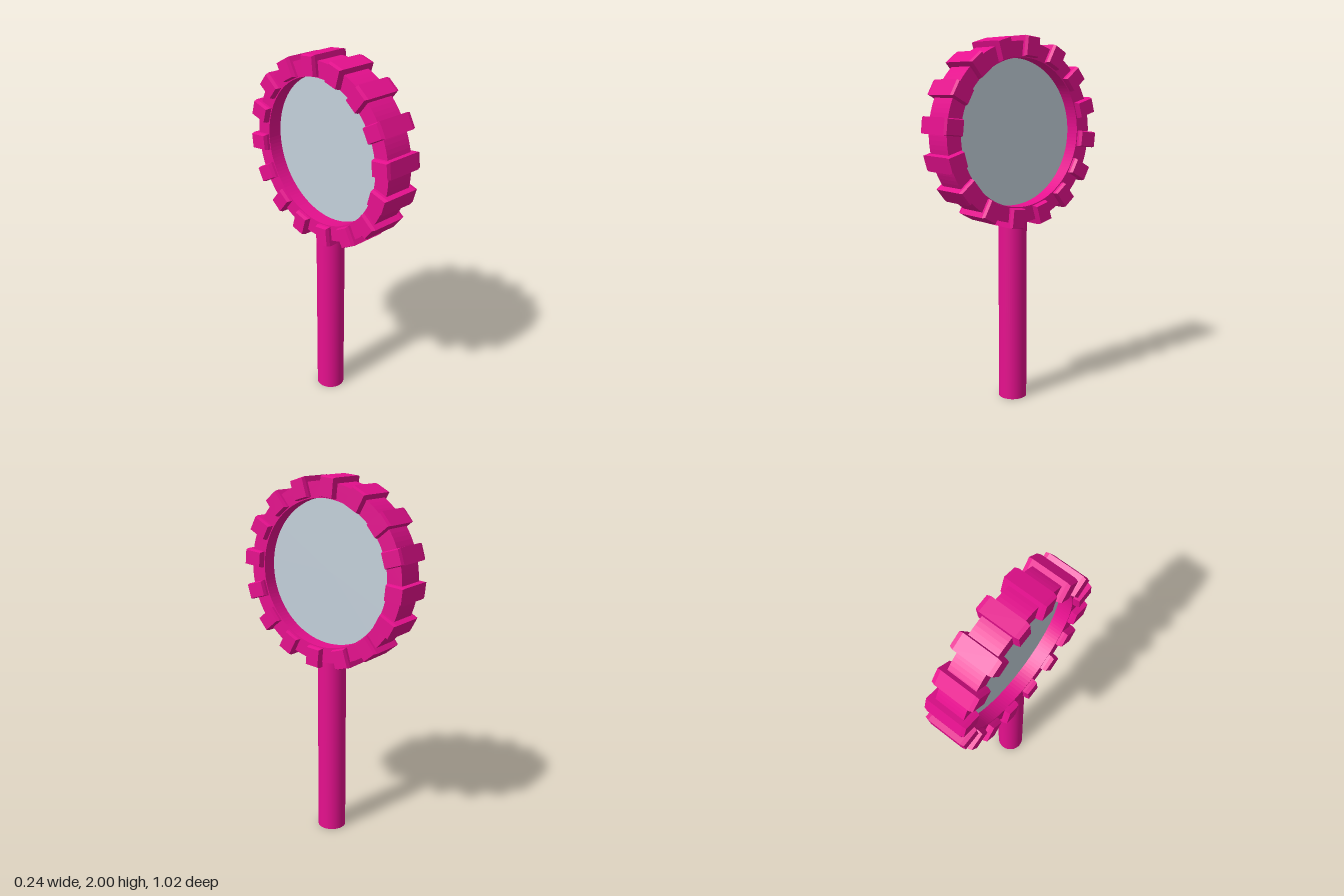
import * as THREE from 'three';

const CENTER_Y = 1.49, TEETH = 16, OFFSET = THREE.MathUtils.degToRad(6);

// Tooth block whose two ends taper in slightly
function toothGeometry(length, height, width, bevel) {
  const g = new THREE.BoxGeometry(length, height, width, 3, 1, 1);
  const p = g.attributes.position;
  for (let i = 0; i < p.count; i++) {
    const x = p.getX(i);
    if (Math.abs(x) > length * 0.45) {
      p.setY(i, p.getY(i) - Math.sign(p.getY(i)) * bevel);
      p.setZ(i, p.getZ(i) - Math.sign(p.getZ(i)) * bevel);
    } else {
      p.setX(i, Math.sign(x) * (length / 2 - 0.02));
    }
  }
  const flat = g.toNonIndexed();
  flat.computeVertexNormals();
  return flat;
}

export function createModel() {
  const model = new THREE.Group();
  const pink = new THREE.MeshStandardMaterial({ color: 0xe6108e });
  pink.name = 'hot pink';
  const glass = new THREE.MeshStandardMaterial({ color: 0xc4d1db });
  glass.name = 'pale blue grey';

  const add = (parent, name, geometry, material) => {
    const mesh = new THREE.Mesh(geometry, material);
    mesh.name = name;
    parent.add(mesh);
    return mesh;
  };

  // Handle, ending inside the rim
  add(model, 'handle', new THREE.CylinderGeometry(0.078, 0.078, 1.05, 40), pink).position.y = 0.525;

  const head = new THREE.Group();
  head.name = 'head';
  head.position.y = CENTER_Y;
  model.add(head);

  // Rim band, its axis along x
  const band = new THREE.Shape().absarc(0, 0, 0.48, 0, Math.PI * 2);
  band.holes.push(new THREE.Path().absarc(0, 0, 0.395, 0, Math.PI * 2, true));
  const rim = new THREE.ExtrudeGeometry(band, { depth: 0.166, bevelEnabled: false, curveSegments: 64 });
  rim.translate(0, 0, -0.083).rotateY(Math.PI / 2);
  add(head, 'rim', rim, pink);

  // Teeth around the rim
  const tooth = toothGeometry(0.236, 0.108, 0.088, 0.005).translate(0, 0.454, 0);
  for (let i = 0; i < TEETH; i++) {
    add(head, 'tooth', tooth, pink).rotation.x = -(OFFSET + (i * Math.PI * 2) / TEETH);
  }

  // Thin pane in the middle of the rim
  const pane = new THREE.CylinderGeometry(0.398, 0.398, 0.008, 64).rotateZ(Math.PI / 2);
  add(head, 'pane', pane, glass);

  return model;
}
